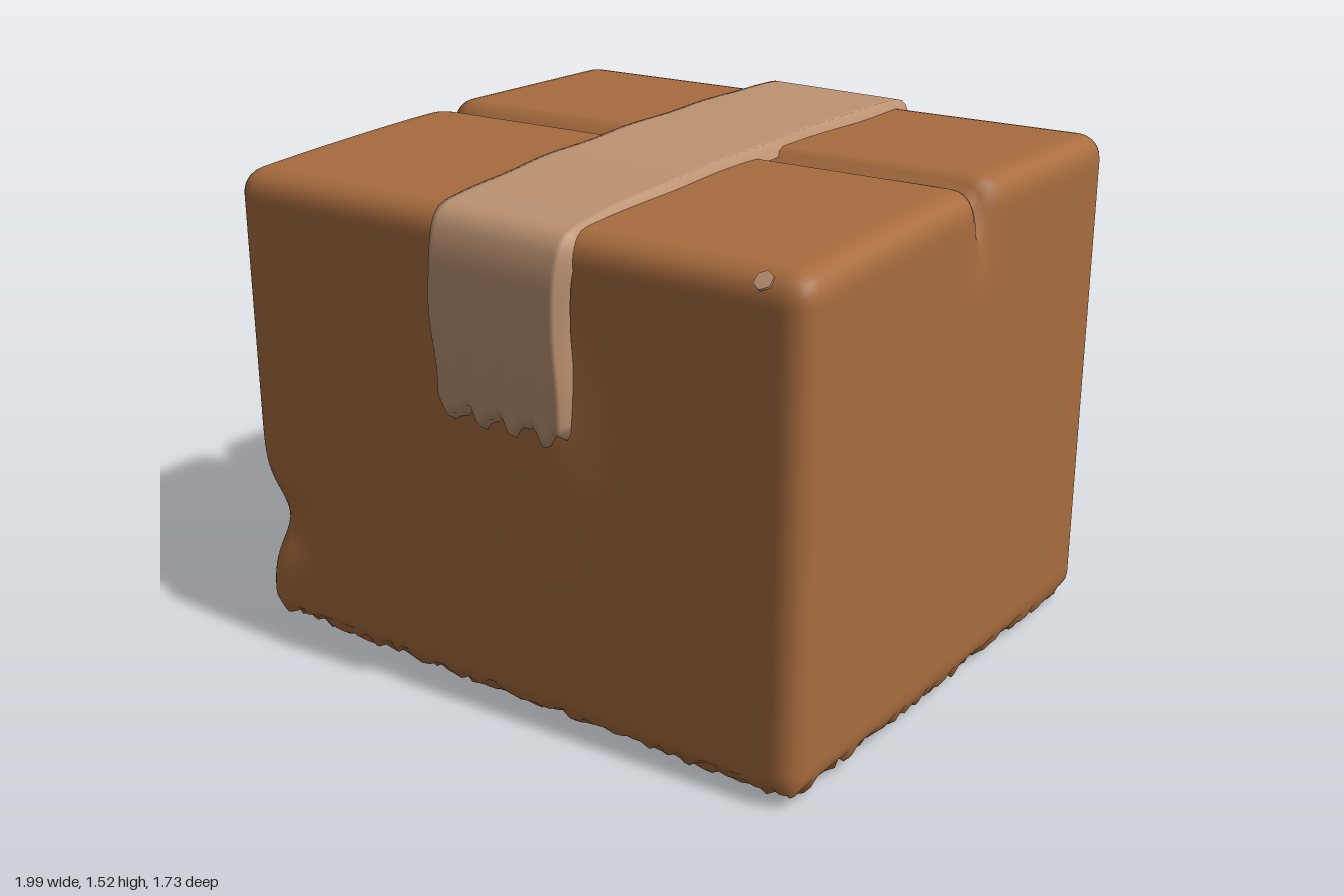
import * as THREE from 'three';
import { mergeVertices } from 'three/addons/utils/BufferGeometryUtils.js';

const cardboard = new THREE.MeshStandardMaterial({ color: 0xa86c3e, side: THREE.DoubleSide });
cardboard.name = 'cardboard brown';
const tan = new THREE.MeshStandardMaterial({ color: 0xbd9372, side: THREE.DoubleSide });
tan.name = 'tape tan';

const lerp = THREE.MathUtils.lerp;
const clamp = THREE.MathUtils.clamp;
const bell = (d, s) => Math.exp(-(d * d) / (s * s));
// repeatable roughness between -1 and 1
const rough = (n) => {
  const s = Math.sin(n * 127.1 + 11.7) * 43758.5453;
  return 2 * (s - Math.floor(s)) - 1;
};

const HALF = [0.985, 0.74, 0.825];
const RADIUS = 0.075;
const SEGMENTS = 64;

// gathers three grid rows into each rounded edge
function spread(t, half) {
  const edge = 1 - 6 / SEGMENTS, a = Math.abs(t), flat = half - RADIUS;
  const r = a < edge ? (a / edge) * flat : flat + ((a - edge) / (1 - edge)) * RADIUS;
  return Math.sign(t) * r;
}

// skews and dents the straight rounded box
function crumple(p) {
  const a = p.x / HALF[0], c = p.z / HALF[2], b = (p.y + HALF[1]) / (2 * HALF[1]);
  const u = (a + 1) / 2, w = (c + 1) / 2;
  let x = lerp(lerp(-0.99, 0.935, u), lerp(-0.985, 0.99, u), w);
  let z = lerp(lerp(-0.79, 0.835, w), lerp(-0.85, 0.79, w), u);
  x += 0.01 * a * (b - 0.5);

  // lid: front flap slopes down, back flap stays level
  const seam = -0.065 - 0.037 * x;
  const top = 1.485 + 0.012 * x - 0.04 * Math.max(0, z / 0.8) ** 1.5 + (z < seam ? 0.012 : 0);
  let y = 0.025 + b * (top - 0.025);

  // groove between the flaps, running a little way down the sides
  const end = Math.max(0, (Math.abs(a) - 0.85) / 0.15);
  const lid = clamp((y - 1.2) / 0.25, 0, 1) ** 2;
  y -= (0.055 + 0.03 * end) * bell(z - seam, 0.03) * lid;
  x -= Math.sign(a) * 0.04 * bell(z - seam, 0.05) * lid * end;

  // crushed front corner
  const dent = bell(y - 0.35, 0.12) * bell(x + 1, 0.22) * bell(z - 0.84, 0.22);
  x += 0.045 * dent;
  z -= 0.045 * dent;

  // card pulled out under the tape ends
  if (c > 0.8) z += 0.028 * bell(x - 0.17, 0.17) * bell(y - 0.85, 0.28);
  if (c < -0.8) z -= 0.022 * bell(x - 0.02, 0.15) * bell(y - 0.85, 0.15);

  // torn notch in the lower edge of one side
  if (a < -0.85) {
    const tear = bell(z + 0.07, 0.06) * clamp(1 - y / 0.3, 0, 1);
    y += 0.1 * tear;
    x += 0.06 * tear;
  }
  // frayed lower rim
  if (b < 0.03) y += 0.016 * rough(Math.round(x * 50) + Math.round(z * 50) * 3.3);
  return p.set(x, y, z);
}

function boxGeometry() {
  let g = new THREE.BoxGeometry(2, 2, 2, SEGMENTS, SEGMENTS, SEGMENTS);
  g.deleteAttribute('normal');
  g.deleteAttribute('uv');
  g.clearGroups();
  g = mergeVertices(g);
  const pos = g.attributes.position, p = new THREE.Vector3(), q = new THREE.Vector3();
  for (let i = 0; i < pos.count; i++) {
    pos.setXYZ(i, spread(pos.getX(i), HALF[0]), spread(pos.getY(i), HALF[1]), spread(pos.getZ(i), HALF[2]));
  }

  // open the underside, leaving a torn flange that is widest at the back
  const kept = [], index = g.index.array;
  for (let i = 0; i < index.length; i += 3) {
    const t = [index[i], index[i + 1], index[i + 2]];
    const mean = (axis) => t.reduce((s, k) => s + pos.getComponent(k, axis), 0) / 3;
    if (mean(1) < -HALF[1] + 0.001) {
      const x = mean(0), z = mean(2);
      const back = z + HALF[2] < 0.13 + 0.09 * rough(Math.floor(x * 9)) + 0.04 * Math.sin(x * 40);
      const rim = Math.min(HALF[0] - Math.abs(x), HALF[2] - Math.abs(z));
      if (!back && rim > 0.06 + 0.02 * rough(Math.floor(x * 30) + Math.floor(z * 30))) continue;
    }
    kept.push(...t);
  }
  g.setIndex(kept);

  // round the edges, then crumple
  for (let i = 0; i < pos.count; i++) {
    p.fromBufferAttribute(pos, i);
    q.set(...HALF.map((h, k) => clamp(p.getComponent(k), RADIUS - h, h - RADIUS)));
    p.sub(q).setLength(RADIUS).add(q);
    crumple(p);
    pos.setXYZ(i, p.x, p.y, p.z);
  }
  g.computeVertexNormals();
  return g;
}

// band that follows a path up the front, over the lid and down the back
function tapeGeometry() {
  const path = new THREE.CatmullRomCurve3([
    [0.87, 0.85], [1.2, 0.86], [1.36, 0.852], [1.44, 0.815], [1.468, 0.7], [1.497, 0.4], [1.517, 0],
    [1.528, -0.4], [1.53, -0.7], [1.512, -0.82], [1.44, -0.856], [1.2, -0.866], [0.91, -0.858],
  ].map(([y, z]) => new THREE.Vector3(0, y, z)));
  const g = new THREE.PlaneGeometry(1, 1, 28, 100);
  const pos = g.attributes.position;
  for (let i = 0; i < pos.count; i++) {
    const u = pos.getX(i) + 0.5, t = clamp(pos.getY(i) + 0.5, 0, 1);
    const p = path.getPointAt(t), d = path.getTangentAt(t);
    const left = lerp(-0.195, -0.23, Math.min(1, t * 1.8)) + 0.006 * Math.sin(t * 47);
    const right = lerp(0.285, 0.262, t) + 0.004 * Math.sin(t * 39);
    // folded-down border
    const rim = u < 0.01 || u > 0.99 || t < 0.002 || t > 0.998;
    const drop = rim ? 0.045 : 0;
    let y = p.y - d.z * -1 * drop;
    const z = p.z - d.y * drop;
    // scalloped torn ends
    if (p.y < 1.35) {
      const low = t < 0.5 ? 0.87 : 0.91;
      const torn = 0.022 * Math.sin(u * 27 + 1) + 0.012 * Math.sin(u * 51);
      y += torn * (1.35 - p.y) / (1.35 - low);
    }
    pos.setXYZ(i, lerp(left, right, u), y, z);
  }
  g.computeVertexNormals();
  return g;
}

export function createModel() {
  const model = new THREE.Group();
  model.name = 'taped cardboard box';
  const add = (name, geometry, material) => {
    const mesh = new THREE.Mesh(geometry, material);
    mesh.name = name;
    model.add(mesh);
    return mesh;
  };
  add('boxShell', boxGeometry(), cardboard);
  add('packingTape', tapeGeometry(), tan);

  // small scuff on the front top corner
  const scuff = add('cornerScuff', new THREE.CylinderGeometry(0.028, 0.028, 0.008, 6), tan);
  scuff.position.set(0.86, 1.432, 0.777);
  scuff.rotation.x = Math.PI / 4;
  return model;
}
